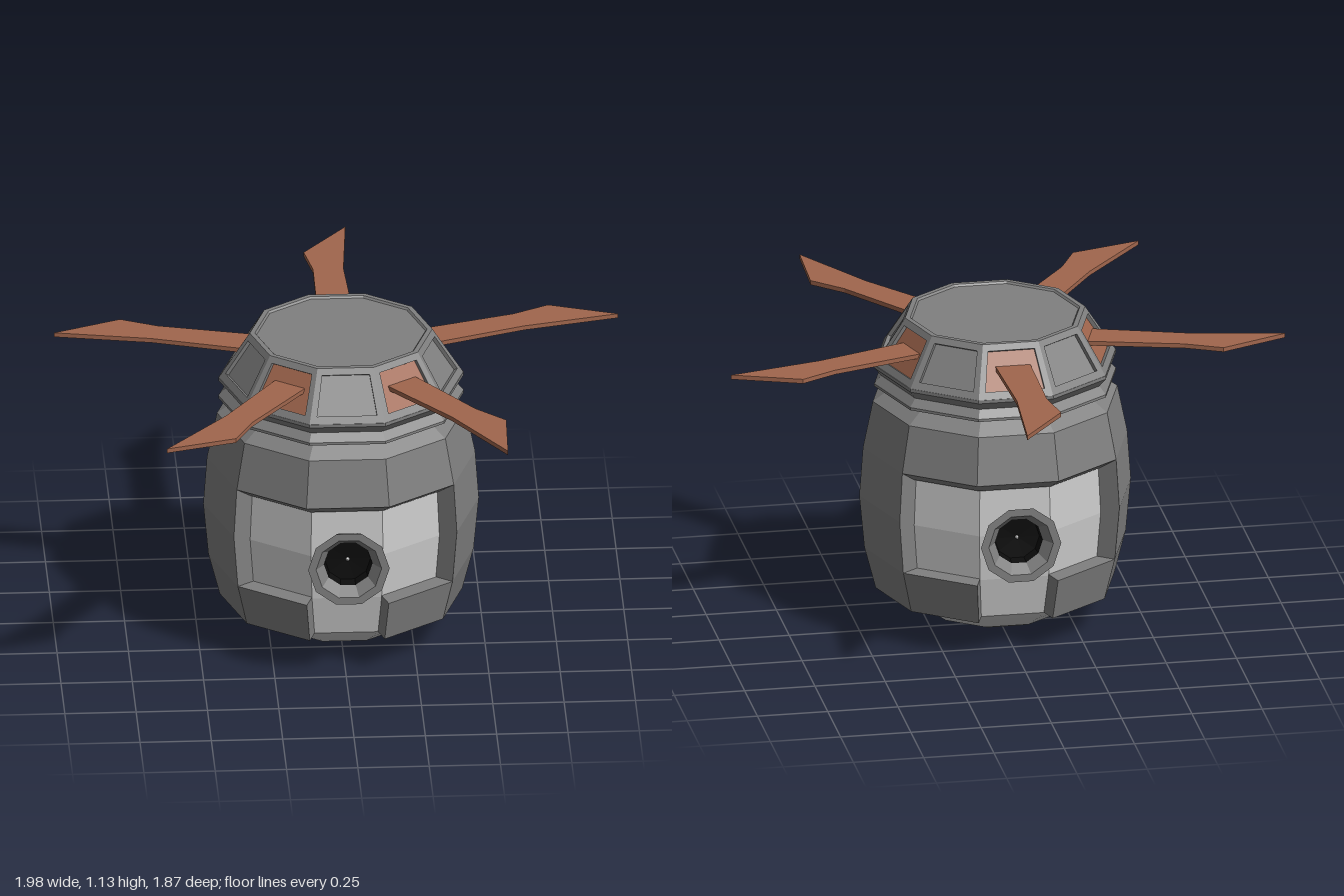
import * as THREE from 'three';

const SIDES = 10;
const STEP = (Math.PI * 2) / SIDES;

const mat = (color, flatShading = true) =>
  new THREE.MeshStandardMaterial({ color, flatShading, side: THREE.DoubleSide });
const pale = mat(0xcccccc);
const paleSmooth = mat(0xcccccc, false);
const armour = mat(0x808080);
const copper = mat(0xa0664d);
const black = mat(0x0c0c0c);

const vecs = (pts) => pts.map(([x, y]) => new THREE.Vector2(x, y));

function add(parent, name, geometry, material) {
  const mesh = new THREE.Mesh(geometry, material);
  mesh.name = name;
  parent.add(mesh);
  return mesh;
}

// Ten-sided turned form with a flat facet facing the front
function turned(pts) {
  return new THREE.LatheGeometry(vecs(pts), SIDES, STEP / 2, Math.PI * 2);
}

// Armour slab covering `count` facets from facet `first`, with closed ends
function slab(parent, name, pts, first, count) {
  const group = new THREE.Group();
  group.name = name;
  const start = (first - 0.5) * STEP;
  const closed = vecs([...pts, pts[0]]);
  add(group, name + 'Shell', new THREE.LatheGeometry(closed, count, start, count * STEP), armour);
  for (const phi of [start, start + count * STEP]) {
    const end = add(group, name + 'End', new THREE.ShapeGeometry(new THREE.Shape(vecs(pts))), armour);
    end.rotation.y = phi - Math.PI / 2;
  }
  parent.add(group);
}

export function createModel() {
  const model = new THREE.Group();
  model.name = 'droidHead';
  const core = new THREE.Group();
  core.name = 'core';
  core.position.set(0.005, 0, 0.07);
  model.add(core);

  // Inner body and rounded underside
  add(core, 'innerBody', turned([[0.36, 0.13], [0.395, 0.28], [0.41, 0.45], [0.4, 0.63], [0.36, 0.875], [0, 0.875]]), pale);
  add(core, 'bowl', turned([[0, 0], [0.1, 0.002], [0.18, 0.02], [0.25, 0.048], [0.31, 0.09], [0.36, 0.13]]), paleSmooth);

  // Upper armour band all round
  add(core, 'upperBand', turned([[0.39, 0.62], [0.41, 0.62], [0.47, 0.66], [0.435, 0.83], [0.37, 0.875], [0.3, 0.875]]), armour);

  // Full-height side plates and the low blocks beside each eye
  const plate = [[0.34, 0.13], [0.425, 0.13], [0.465, 0.285], [0.483, 0.48], [0.47, 0.66], [0.38, 0.66]];
  const block = [[0.34, 0.13], [0.425, 0.13], [0.465, 0.285], [0.38, 0.285]];
  for (const first of [2, 7]) slab(core, 'sidePlate', plate, first, 2);
  for (const facet of [-1, 1, 4, 6]) slab(core, 'lowerBlock', block, facet, 1);

  // Grooved collar
  add(core, 'collar', turned([[0.34, 0.87], [0.37, 0.872], [0.43, 0.887], [0.43, 0.897], [0.405, 0.925], [0.43, 0.955], [0.43, 0.967], [0.38, 0.97]]), armour);

  // Crown: framed sloping windows on every facet, alternate ones copper
  const r0 = 0.43, r1 = 0.32, y0 = 0.965, y1 = 1.135;
  const inner = Math.cos(STEP / 2), half = Math.sin(STEP / 2);
  const slope = Math.hypot((r0 - r1) * inner, y1 - y0);
  const lean = Math.atan2((r0 - r1) * inner, y1 - y0);
  const frame = new THREE.Shape(vecs([[-r0 * half, 0], [r0 * half, 0], [r1 * half, slope], [-r1 * half, slope]]));
  const opening = vecs([[-0.105, 0.03], [0.105, 0.03], [0.083, 0.175], [-0.083, 0.175]]);
  frame.holes.push(new THREE.Path(opening));
  const frameGeo = new THREE.ExtrudeGeometry(frame, { depth: 0.018, bevelEnabled: false });
  const paneGeo = new THREE.ShapeGeometry(new THREE.Shape(opening));
  for (let k = 0; k < SIDES; k++) {
    const facet = new THREE.Group();
    facet.name = 'crownFacet';
    facet.rotation.y = k * STEP;
    const panel = new THREE.Group();
    panel.name = 'crownPanel';
    panel.position.set(0, y0, r0 * inner);
    panel.rotation.x = -lean;
    add(panel, 'windowFrame', frameGeo, armour).position.z = -0.018;
    add(panel, 'windowPane', paneGeo, k % 2 ? copper : armour).position.z = -0.014;
    facet.add(panel);
    core.add(facet);
  }
  add(core, 'lid', turned([[r1, y1], [0.302, y1], [0.296, y1 - 0.007], [0, y1 - 0.007]]), armour);

  // Five angled-tip blades; the one on the right is turned over
  const outline = [[-0.065, 0.31], [0.06, 0.31], [0.045, 0.67], [0.07, 1.013], [-0.087, 0.81], [-0.062, 0.67]];
  for (let k = 0; k < 5; k++) {
    const flip = k === 4;
    const pts = outline.map(([t, r]) => [flip ? -t : t, r]);
    const geo = new THREE.ExtrudeGeometry(new THREE.Shape(vecs(pts)), { depth: 0.016, bevelEnabled: false });
    geo.rotateX(-Math.PI / 2);
    const blade = add(core, 'blade', geo, copper);
    blade.position.y = 1.045;
    blade.rotation.y = -k * 2 * STEP + (flip ? 0.05 : 0);
  }

  // Flared eye on the front and back
  for (const turn of [0, Math.PI]) {
    const eye = new THREE.Group();
    eye.name = turn ? 'backEye' : 'frontEye';
    eye.position.y = 0.452;
    eye.rotation.y = turn;
    const barrel = turned([[0.085, 0.36], [0.085, 0.42], [0.105, 0.425], [0.143, 0.508], [0.115, 0.508], [0.085, 0.465]]);
    add(eye, 'eyeBarrel', barrel.rotateX(Math.PI / 2), armour);
    const lens = turned([[0.085, 0.465], [0.08, 0.425], [0, 0.42]]);
    add(eye, 'eyeLens', lens.rotateX(Math.PI / 2), black);
    add(eye, 'eyeGlint', new THREE.SphereGeometry(0.007, 8, 6), pale).position.z = 0.424;
    core.add(eye);
  }
  return model;
}
